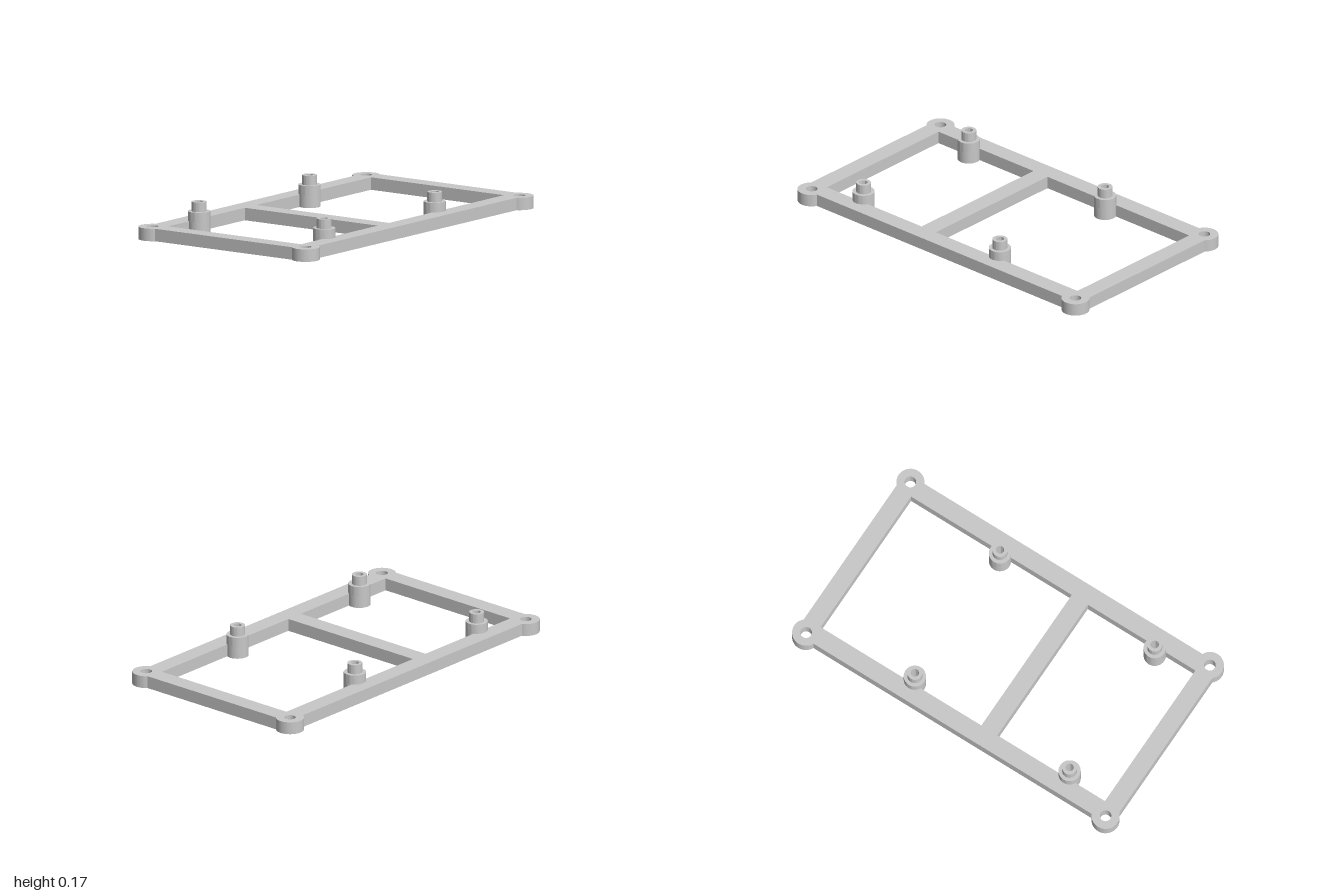
import * as THREE from 'three';
import { toCreasedNormals } from 'three/addons/utils/BufferGeometryUtils.js';

const PLATE_H = 0.066;
const EAR = { x: 0.927, z: 0.496, r: 0.073, hole: 0.03 };   // corner screw ears
const SIDE = { x: 0.977, z: 0.527 };                        // outer edges of the bars
const INNER_Z = 0.43;
const POST = { z: 0.405, r: 0.058, pinR: 0.039, hole: 0.021 };
const WINDOWS = [
  { x0: -0.88, x1: -0.214, postX: -0.645 },
  { x0: -0.115, x1: 0.88, postX: 0.313 },
];

function circlePath(x, y, r) {
  const p = new THREE.Path();
  p.absarc(x, y, r, 0, Math.PI * 2, true);
  return p;
}

// Outer outline: four straight edges joined by round ears
function frameOutline() {
  const s = new THREE.Shape();
  const a = -Math.acos((SIDE.x - EAR.x) / EAR.r);
  const b = Math.PI - Math.asin((SIDE.z - EAR.z) / EAR.r);
  const PI = Math.PI;
  s.absarc(EAR.x, EAR.z, EAR.r, a, b, false);
  s.absarc(-EAR.x, EAR.z, EAR.r, PI - b, PI - a, false);
  s.absarc(-EAR.x, -EAR.z, EAR.r, PI + a, PI + b, false);
  s.absarc(EAR.x, -EAR.z, EAR.r, -b, -a, false);
  s.closePath();
  return s;
}

// Rectangular opening, with the post feet bulging in from both long edges
function windowPath({ x0, x1, postX }) {
  const a = Math.asin((INNER_Z - POST.z) / POST.r);
  const p = new THREE.Path();
  p.moveTo(x0, INNER_Z);
  p.lineTo(x0, -INNER_Z);
  p.absarc(postX, -POST.z, POST.r, Math.PI + a, -a, true);
  p.lineTo(x1, -INNER_Z);
  p.lineTo(x1, INNER_Z);
  p.absarc(postX, POST.z, POST.r, a, Math.PI - a, true);
  p.closePath();
  return p;
}

export function createModel() {
  const model = new THREE.Group();
  model.name = 'mountingFrame';
  const grey = new THREE.MeshStandardMaterial({ color: 0xc8c8c8 });
  grey.name = 'lightGrey';

  // Flat frame with ears, cross bar, post feet and drilled holes
  const shape = frameOutline();
  for (const w of WINDOWS) shape.holes.push(windowPath(w));
  for (const s of [-1, 1]) {
    for (const t of [-1, 1]) shape.holes.push(circlePath(s * EAR.x, t * EAR.z, EAR.hole));
    for (const w of WINDOWS) shape.holes.push(circlePath(w.postX, s * POST.z, POST.hole));
  }
  const plate = new THREE.ExtrudeGeometry(shape, { depth: PLATE_H, bevelEnabled: false, curveSegments: 24 });
  plate.rotateX(-Math.PI / 2);
  const frame = new THREE.Mesh(toCreasedNormals(plate, 0.6), grey);
  frame.name = 'frame';
  model.add(frame);

  // Stepped hollow posts standing on the frame
  const profile = [
    [POST.r, PLATE_H], [POST.r, 0.116], [POST.pinR, 0.116],
    [POST.pinR, 0.166], [POST.hole, 0.166], [POST.hole, PLATE_H],
  ].map(([x, y]) => new THREE.Vector2(x, y));
  const postGeometry = toCreasedNormals(new THREE.LatheGeometry(profile, 48), 0.6);
  for (const w of WINDOWS) {
    for (const s of [-1, 1]) {
      const post = new THREE.Mesh(postGeometry, grey);
      post.name = 'standoffPost';
      post.position.set(w.postX, 0, s * POST.z);
      model.add(post);
    }
  }
  return model;
}
